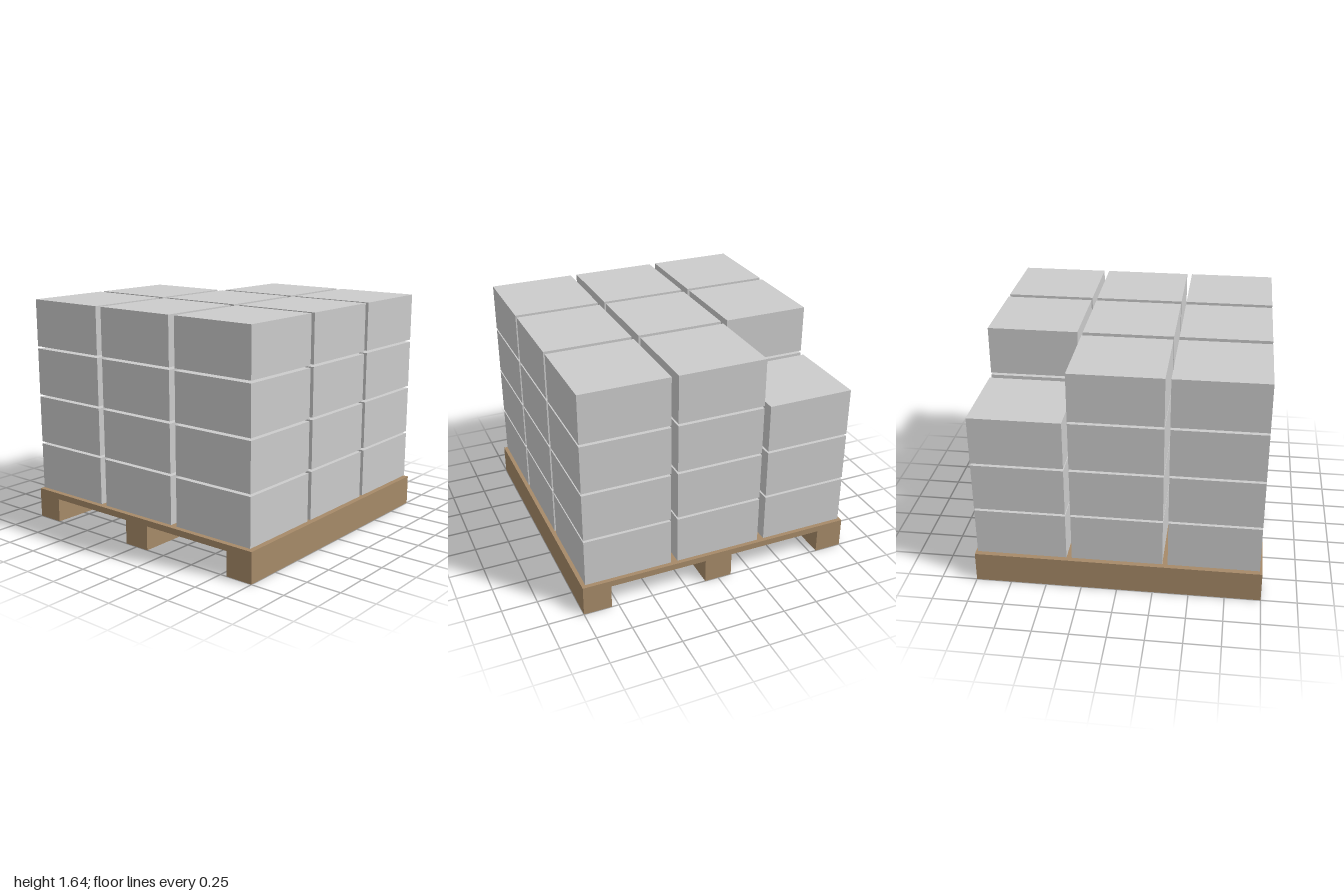
import * as THREE from 'three';

export function createModel() {
  const model = new THREE.Group();
  const wood = new THREE.MeshStandardMaterial({ color: 0xa68a68 });
  const grey = new THREE.MeshStandardMaterial({ color: 0xcccccc });

  const addBlock = (parent, name, material, size, position) => {
    const mesh = new THREE.Mesh(new THREE.BoxGeometry(...size), material);
    mesh.name = name;
    mesh.position.set(...position);
    parent.add(mesh);
  };

  // Pallet: a thin deck on three full-width runners
  const pallet = new THREE.Group();
  pallet.name = 'pallet';
  const deckBottom = 0.173, deckTop = 0.217;
  addBlock(pallet, 'deck', wood, [2, deckTop - deckBottom, 2], [0, (deckTop + deckBottom) / 2, 0]);
  for (const z of [-0.9, 0, 0.9]) {
    addBlock(pallet, 'runner', wood, [2, deckBottom, 0.2], [0, deckBottom / 2, z]);
  }
  model.add(pallet);

  // Load: 3 x 3 x 4 boxes, with the back corner at +x missing from the top layer
  const load = new THREE.Group();
  load.name = 'boxStack';
  const spacing = 0.667, layerStep = 0.357;
  for (let layer = 0; layer < 4; layer++) {
    for (let col = -1; col <= 1; col++) {
      for (let row = -1; row <= 1; row++) {
        if (layer === 3 && col === 1 && row === -1) continue;
        addBlock(load, 'box', grey, [0.63, 0.34, 0.618],
          [col * spacing, 0.397 + layer * layerStep, row * spacing]);
      }
    }
  }
  model.add(load);

  return model;
}
